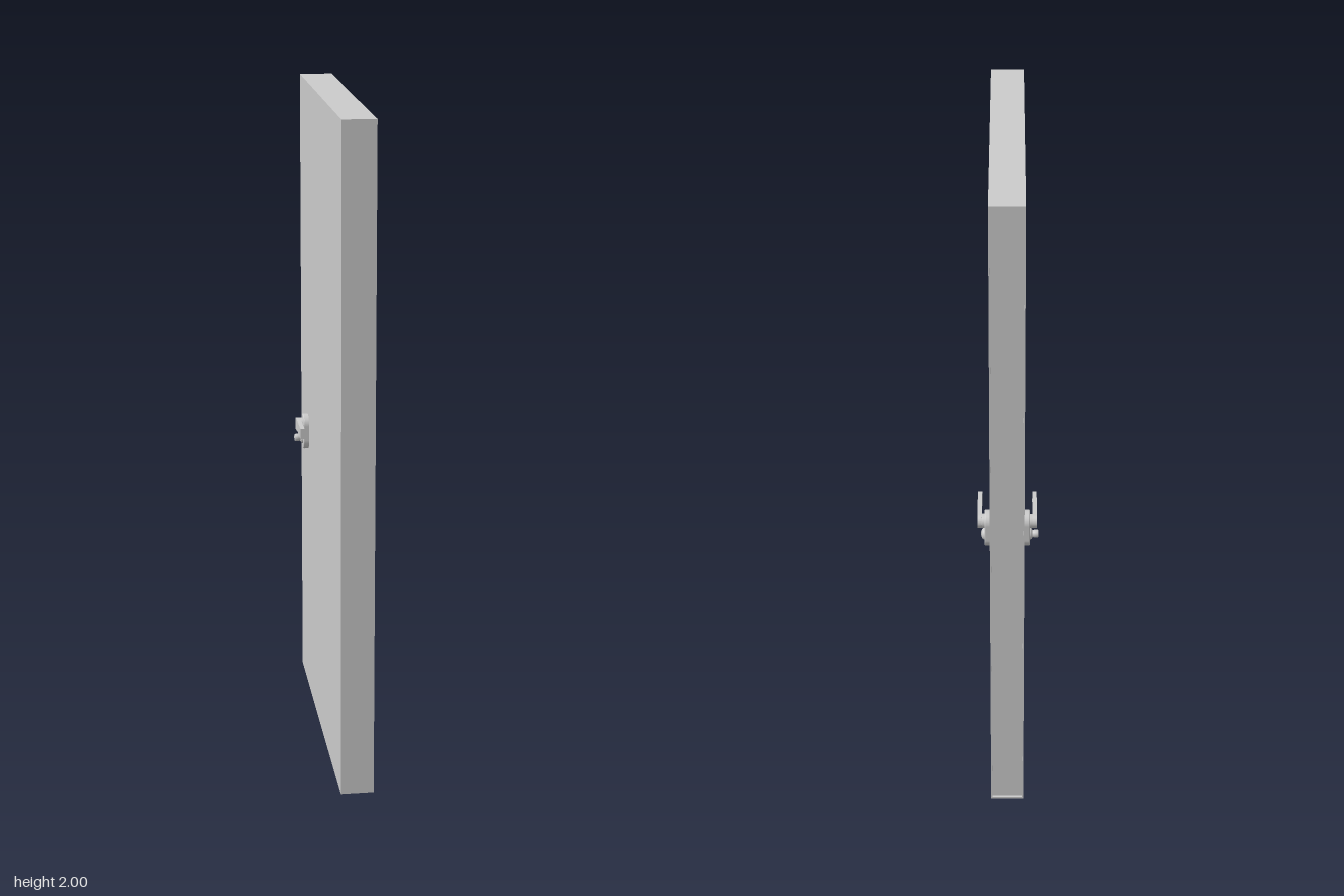
import * as THREE from 'three';

const material = new THREE.MeshStandardMaterial({ color: 0xcccccc });

function add(parent, name, geometry, x = 0, y = 0, z = 0) {
  const mesh = new THREE.Mesh(geometry, material);
  mesh.name = name;
  mesh.position.set(x, y, z);
  parent.add(mesh);
  return mesh;
}

// Door slab from rectangular rings along z, ending in a shallow recess on the lock edge.
function slabGeometry() {
  const rings = [
    [0.05, 1, 0.5],
    [0.05, 1, -0.5],
    [0.046, 0.994, -0.5],
    [0.046, 0.994, -0.492],
  ].map(([w, h, z]) => [[-w, -h, z], [w, -h, z], [w, h, z], [-w, h, z]]);
  const pos = [];
  const quad = (a, b, c, d) => pos.push(...a, ...b, ...c, ...a, ...c, ...d);
  quad(...rings[0]);
  for (let r = 0; r < rings.length - 1; r++) {
    for (let i = 0; i < 4; i++) {
      const j = (i + 1) % 4;
      quad(rings[r][i], rings[r + 1][i], rings[r + 1][j], rings[r][j]);
    }
  }
  quad(...rings[3].slice().reverse());
  const g = new THREE.BufferGeometry();
  g.setAttribute('position', new THREE.Float32BufferAttribute(pos, 3));
  g.computeVertexNormals();
  return g;
}

// Extrude a shape drawn in (z, y) outward along +x, starting at x = 0.
function extrudeX(shape, depth, bevel = 0) {
  const g = new THREE.ExtrudeGeometry(shape, {
    depth: depth - bevel, curveSegments: 20, bevelEnabled: bevel > 0,
    bevelThickness: bevel, bevelSize: bevel, bevelOffset: -bevel, bevelSegments: 3,
  });
  return g.rotateY(Math.PI / 2);
}

// Turned part whose profile is [radius, distance outward along +x].
function turned(profile) {
  const points = profile.map(([r, d]) => new THREE.Vector2(r, d));
  return new THREE.LatheGeometry(points, 28).rotateZ(-Math.PI / 2);
}

function plateShape() {
  const s = new THREE.Shape();
  s.absarc(0, 0.024, 0.033, 0, Math.PI, false);
  s.absarc(0, -0.024, 0.033, Math.PI, Math.PI * 2, false);
  s.closePath();
  return s;
}

// Lever: a flat bar whose top edge sweeps around the hub. Extruded shape x runs towards -z.
function leverShape() {
  const s = new THREE.Shape();
  s.moveTo(-0.129, -0.012);
  s.lineTo(-0.129, 0.021);
  s.lineTo(0, 0.021);
  s.absarc(0, 0, 0.021, Math.PI / 2, -Math.PI * 0.8, true);
  s.closePath();
  return s;
}

// Furniture for one face, built facing +x.
function createHandle(withTurn) {
  const handle = new THREE.Group();
  add(handle, 'escutcheon', extrudeX(plateShape(), 0.017, 0.003), 0, 0.882, 0);
  add(handle, 'leverHub', turned([[0.021, 0.014], [0.021, 0.024], [0.02, 0.026], [0, 0.026]]), 0, 0.906, 0);
  add(handle, 'lever', extrudeX(leverShape(), 0.013), 0.025, 0.906, 0);

  // Lock below the lever: domed cylinder, plus a thumb turn on one face
  add(handle, 'lockCylinder', turned([[0.018, 0.015], [0.018, 0.019], [0.015, 0.023], [0.009, 0.026], [0, 0.027]]), 0, 0.861, 0);
  if (withTurn) {
    add(handle, 'thumbTurn', turned([[0.008, 0.02], [0.012, 0.03], [0.012, 0.04], [0.01, 0.043], [0, 0.043]]), 0, 0.861, 0);
  } else {
    add(handle, 'keySlot', new THREE.BoxGeometry(0.004, 0.012, 0.003), 0.026, 0.861, 0);
  }
  return handle;
}

export function createModel() {
  const door = new THREE.Group();
  door.name = 'door';
  add(door, 'doorSlab', slabGeometry(), 0.002, 1, 0);

  const outer = createHandle(false);
  outer.name = 'leftHandle';
  outer.position.set(0.052, 0, -0.317);
  door.add(outer);

  // Mirrored furniture on the other face
  const inner = createHandle(true);
  inner.name = 'rightHandle';
  inner.position.set(-0.048, 0, -0.317);
  inner.scale.x = -1;
  door.add(inner);
  return door;
}
